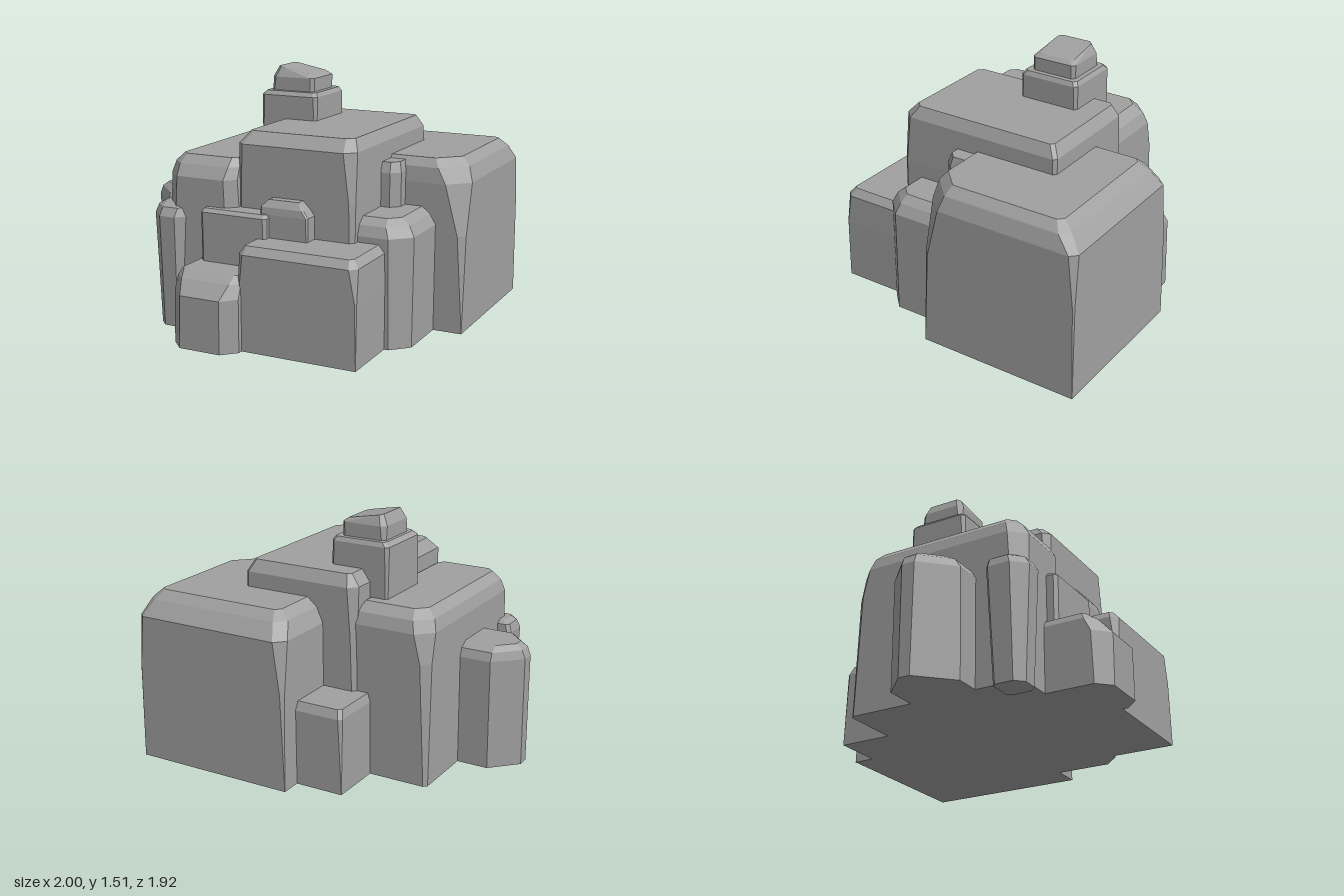
import * as THREE from 'three';
import { ConvexGeometry } from 'three/addons/geometries/ConvexGeometry.js';

const stone = new THREE.MeshStandardMaterial({ color: 0xa0a0a0 });
const BASE = 0.02;

// Rectangle at height y with its four corners cut off.
// Cut order: back at x0, back at x1, front at x1, front at x0.
function ring(y, x0, x1, z0, z1, cuts = [0, 0, 0, 0]) {
  const [a, b, c, d] = cuts;
  return [
    [x0, z0 + a], [x0 + a, z0], [x1 - b, z0], [x1, z0 + b],
    [x1, z1 - c], [x1 - c, z1], [x0 + d, z1], [x0, z1 - d],
  ].map(([x, z]) => new THREE.Vector3(x, y, z));
}

// Chiselled rock: the convex skin around a set of points, without duplicates
function rock(group, name, points) {
  const unique = new Map();
  for (const p of points) unique.set(p.toArray().map((v) => v.toFixed(4)).join(), p);
  const mesh = new THREE.Mesh(new ConvexGeometry([...unique.values()]), stone);
  mesh.name = name;
  group.add(mesh);
}

export function createModel() {
  const model = new THREE.Group();
  model.name = 'rockFormation';
  const add = (name, ...rings) => rock(model, name, rings.flatMap((r) => ring(...r)));

  // Large masses
  add('backBlock',
    [BASE, 0, 1, -0.96, 0.03],
    [0.6, 0, 1, -0.96, 0.03, [0.02, 0.01, 0.04, 0.01]],
    [0.9, 0, 1, -0.96, 0.03, [0.06, 0.04, 0.12, 0.02]],
    [0.99, 0.04, 0.97, -0.89, 0.02, [0.06, 0.05, 0.14, 0.03]],
    [1.04, 0.1, 0.92, -0.83, -0.02, [0.03, 0.03, 0.12, 0.03]]);
  add('centralBlock',
    [BASE, -0.21, 0.53, -0.54, 0.52, [0.01, 0, 0.01, 0.02]],
    [0.85, -0.21, 0.53, -0.54, 0.52, [0.03, 0.01, 0.03, 0.03]],
    [1.13, -0.21, 0.525, -0.54, 0.52, [0.05, 0.02, 0.06, 0.04]],
    [1.2, -0.16, 0.49, -0.5, 0.45, [0.02, 0.02, 0.04, 0.03]]);
  add('sideBlock',
    [BASE, -0.66, -0.15, -0.515, 0.59, [0.02, 0, 0.07, 0.08]],
    [0.75, -0.66, -0.2, -0.515, 0.59, [0.05, 0, 0.06, 0.08]],
    [0.92, -0.66, -0.2, -0.515, 0.59, [0.09, 0, 0.06, 0.09]],
    [0.99, -0.64, -0.2, -0.49, 0.55, [0.09, 0, 0.05, 0.07]],
    [1.04, -0.59, -0.22, -0.43, 0.5, [0.06, 0, 0.03, 0.04]]);

  // Summit tower and slanted capstone
  add('summitTower',
    [0.95, -0.32, 0.045, -0.37, 0.01, [0.01, 0.01, 0.01, 0.01]],
    [1.34, -0.325, 0.045, -0.37, 0.01, [0.02, 0.02, 0.02, 0.02]],
    [1.365, -0.3, 0.03, -0.355, -0.01, [0.02, 0.02, 0.02, 0.02]]);
  const capTop = ring(1.465, -0.25, -0.025, -0.3, -0.07, [0.02, 0.02, 0.02, 0.02]);
  capTop.forEach((p) => { p.y -= (p.x + 0.025) * 0.19; });
  rock(model, 'capstone', [
    ...ring(1.36, -0.28, 0, -0.325, -0.04, [0.02, 0.02, 0.02, 0.02]),
    ...ring(1.445, -0.28, 0, -0.325, -0.04, [0.03, 0.02, 0.02, 0.03]),
    ...capTop,
  ]);

  // Buttress behind the formation
  add('backButtress',
    [BASE, -0.295, 0.1, -0.835, -0.4],
    [0.47, -0.295, 0.1, -0.835, -0.4, [0.02, 0, 0, 0]],
    [0.52, -0.28, 0.1, -0.81, -0.4, [0.02, 0, 0, 0]]);

  // Outcrops beside the masses
  add('sideOutcrop',
    [BASE, -1, -0.55, -0.11, 0.3, [0.15, 0, 0, 0.19]],
    [0.68, -1, -0.55, -0.11, 0.3, [0.15, 0, 0, 0.18]],
    [0.73, -0.98, -0.55, -0.09, 0.27, [0.13, 0, 0, 0.15]],
    [0.76, -0.94, -0.55, -0.04, 0.21, [0.09, 0, 0, 0.1]]);
  add('leaningPillar',
    [0, -0.715, -0.535, 0.43, 0.61, [0.02, 0.02, 0.04, 0.05]],
    [0.68, -0.745, -0.505, 0.405, 0.64, [0.02, 0.02, 0.06, 0.08]],
    [0.73, -0.73, -0.51, 0.41, 0.61, [0.02, 0.02, 0.05, 0.07]],
    [0.75, -0.7, -0.54, 0.44, 0.56, [0.02, 0.02, 0.03, 0.03]]);
  add('lowOutcrop',
    [BASE, 0.4, 0.825, -0.1, 0.465, [0, 0, 0.1, 0]],
    [0.66, 0.4, 0.825, -0.1, 0.465, [0, 0, 0.11, 0]],
    [0.72, 0.4, 0.79, -0.1, 0.44, [0, 0, 0.1, 0]],
    [0.76, 0.4, 0.74, -0.1, 0.39, [0, 0, 0.06, 0]]);
  add('narrowSpur',
    [BASE, 0.4, 0.635, -0.1, 0.145, [0, 0, 0.05, 0]],
    [0.96, 0.4, 0.635, -0.1, 0.145, [0, 0, 0.05, 0]],
    [1.02, 0.4, 0.62, -0.1, 0.12, [0, 0, 0.04, 0]]);

  // Stepped ledges at the front
  add('frontBlock',
    [BASE, -0.03, 0.7, 0.3, 0.85],
    [0.4, -0.03, 0.7, 0.3, 0.85, [0, 0, 0.01, 0.02]],
    [0.58, -0.03, 0.695, 0.3, 0.85, [0, 0, 0.04, 0.04]],
    [0.625, 0, 0.66, 0.3, 0.81, [0, 0, 0.02, 0.02]]);
  add('frontFoot',
    [BASE, -0.42, 0, 0.4, 0.96, [0, 0, 0.08, 0.08]],
    [0.33, -0.42, 0, 0.4, 0.96, [0, 0, 0.08, 0.09]],
    [0.41, -0.42, -0.005, 0.4, 0.89, [0, 0, 0.05, 0.06]],
    [0.45, -0.4, -0.03, 0.4, 0.83, [0, 0, 0.02, 0.02]]);
  add('middleLedge',
    [BASE, -0.38, 0.05, 0.3, 0.65, [0, 0, 0, 0.02]],
    [0.74, -0.38, 0.05, 0.3, 0.655, [0, 0, 0.02, 0.02]],
    [0.76, -0.365, 0.035, 0.3, 0.63, [0, 0, 0.01, 0.01]]);
  add('smallLedge',
    [BASE, -0.01, 0.29, 0.3, 0.61],
    [0.76, -0.01, 0.29, 0.3, 0.61, [0, 0, 0.01, 0.01]],
    [0.8, -0.01, 0.26, 0.3, 0.605, [0, 0, 0.01, 0.01]],
    [0.84, 0.03, 0.22, 0.3, 0.575]);

  return model;
}
